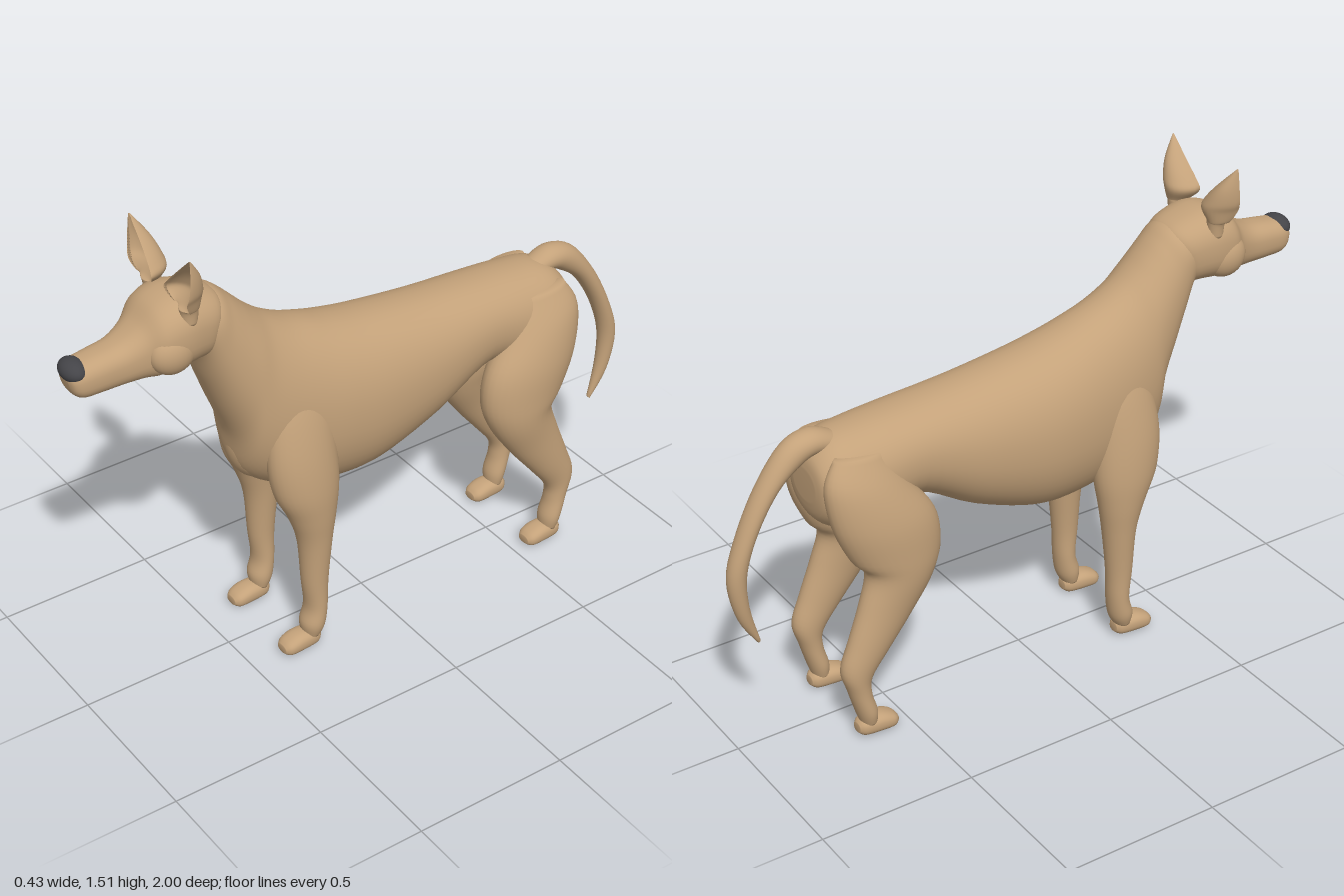
import * as THREE from 'three';

const fur = new THREE.MeshStandardMaterial({ color: 0xc4a27a });
fur.name = 'tan fur';
const dark = new THREE.MeshStandardMaterial({ color: 0x444448 });
dark.name = 'dark nose';

// Closed smooth skin over equal-length rings, counterclockwise about the travel direction
function skin(rings) {
  const n = rings[0].length, pos = rings.flat(2), idx = [], last = rings.length - 1;
  for (const r of [rings[0], rings[last]]) {
    for (let k = 0; k < 3; k++) pos.push(r.reduce((s, p) => s + p[k], 0) / n);
  }
  const start = rings.length * n;
  for (let j = 0; j < n; j++) {
    const k = (j + 1) % n;
    for (let i = 0; i < last; i++) {
      const a = i * n + j, b = i * n + k;
      idx.push(a, b, b + n, a, b + n, a + n);
    }
    idx.push(start, k, j, start + 1, last * n + j, last * n + k);
  }
  const g = new THREE.BufferGeometry();
  g.setAttribute('position', new THREE.Float32BufferAttribute(pos, 3));
  g.setIndex(idx);
  g.computeVertexNormals();
  return g;
}

// Catmull-Rom subdivision of rows of numbers
function smooth(rows, steps = 5) {
  const out = [], at = (i) => rows[Math.min(Math.max(i, 0), rows.length - 1)];
  for (let i = 0; i < rows.length - 1; i++) {
    for (let s = 0; s < steps; s++) {
      const t = s / steps;
      out.push(rows[i].map((b, k) => {
        const a = at(i - 1)[k], c = at(i + 1)[k], d = at(i + 2)[k];
        return b + 0.5 * t * (c - a + t * (2 * a - 5 * b + 4 * c - d + t * (3 * (b - c) + d - a)));
      }));
    }
  }
  out.push(rows[rows.length - 1]);
  return out;
}

// Each row: z1, y1, z2, y2 (opposite silhouette points), half width, x centre
function loft(rows, side = 1, power = 2, n = 32) {
  const bend = (v) => Math.sign(v) * Math.abs(v) ** (2 / power);
  return skin(smooth(rows).map(([z1, y1, z2, y2, w, x = 0]) =>
    Array.from({ length: n }, (_, j) => {
      const a = (j / n) * Math.PI * 2, c = bend(Math.cos(a)), s = bend(Math.sin(a));
      return [side * x + w * c, (y1 + y2) / 2 + s * (y1 - y2) / 2, (z1 + z2) / 2 + s * (z1 - z2) / 2];
    })));
}

const BODY = [
  [-0.735, 0.88, -0.735, 0.78, 0.06], [-0.72, 0.93, -0.72, 0.72, 0.11],
  [-0.66, 0.975, -0.66, 0.68, 0.138], [-0.55, 0.99, -0.55, 0.68, 0.147],
  [-0.4, 1.0, -0.4, 0.71, 0.147], [-0.2, 1.015, -0.2, 0.6, 0.168],
  [0, 1.04, 0, 0.525, 0.184], [0.12, 1.065, 0.14, 0.515, 0.182],
  [0.2, 1.09, 0.28, 0.54, 0.172], [0.28, 1.12, 0.4, 0.6, 0.16],
  [0.35, 1.16, 0.46, 0.67, 0.148], [0.4, 1.2, 0.48, 0.79, 0.138],
  [0.44, 1.24, 0.525, 0.91, 0.126], [0.48, 1.28, 0.565, 1.02, 0.116],
  [0.52, 1.31, 0.6, 1.12, 0.11], [0.58, 1.32, 0.65, 1.15, 0.095],
];
const HEAD = [
  [0.5, 1.28, 0.56, 1.13, 0.07], [0.53, 1.315, 0.58, 1.12, 0.105],
  [0.6, 1.34, 0.62, 1.12, 0.121], [0.66, 1.347, 0.67, 1.115, 0.126],
  [0.72, 1.325, 0.73, 1.11, 0.115], [0.77, 1.275, 0.77, 1.109, 0.085],
  [0.83, 1.24, 0.83, 1.108, 0.068], [0.9, 1.228, 0.9, 1.108, 0.063],
  [0.96, 1.218, 0.95, 1.11, 0.058], [0.985, 1.2, 0.975, 1.125, 0.045],
  [0.992, 1.18, 0.985, 1.145, 0.022],
];
const TAIL = [
  [-0.63, 0.91, -0.63, 0.975, 0.04], [-0.7, 0.925, -0.71, 1.005, 0.046],
  [-0.75, 0.905, -0.8, 0.975, 0.044], [-0.82, 0.85, -0.89, 0.86, 0.039],
  [-0.89, 0.74, -0.96, 0.72, 0.035], [-0.935, 0.61, -0.998, 0.59, 0.031],
  [-0.935, 0.49, -0.972, 0.45, 0.023], [-0.905, 0.36, -0.913, 0.35, 0.007],
];
const FRONT_LEG = [
  [0.35, 0.96, 0.25, 0.96, 0.025, 0.11], [0.4, 0.85, 0.2, 0.85, 0.056, 0.118],
  [0.42, 0.72, 0.19, 0.72, 0.073, 0.13], [0.405, 0.6, 0.19, 0.6, 0.075, 0.14],
  [0.36, 0.5, 0.205, 0.5, 0.065, 0.146], [0.33, 0.4, 0.22, 0.4, 0.054, 0.147],
  [0.32, 0.25, 0.235, 0.25, 0.043, 0.148], [0.31, 0.15, 0.24, 0.15, 0.043, 0.147],
  [0.325, 0.09, 0.25, 0.08, 0.045, 0.146], [0.32, 0.05, 0.27, 0.04, 0.035, 0.144],
];
const HIND_LEG = [
  [-0.53, 0.93, -0.69, 0.94, 0.03, 0.1], [-0.46, 0.82, -0.73, 0.86, 0.067, 0.113],
  [-0.385, 0.71, -0.715, 0.73, 0.085, 0.125], [-0.37, 0.6, -0.665, 0.61, 0.085, 0.13],
  [-0.405, 0.5, -0.62, 0.55, 0.075, 0.137], [-0.48, 0.39, -0.645, 0.46, 0.058, 0.142],
  [-0.56, 0.29, -0.69, 0.34, 0.048, 0.145], [-0.62, 0.21, -0.72, 0.25, 0.042, 0.145],
  [-0.625, 0.15, -0.7, 0.17, 0.039, 0.145], [-0.61, 0.09, -0.675, 0.085, 0.042, 0.145],
  [-0.61, 0.05, -0.66, 0.04, 0.034, 0.144],
];
const PAW = [
  [0.265, 0.045, 0.265, 0.015, 0.018, 0.143], [0.285, 0.06, 0.285, 0.003, 0.033, 0.143],
  [0.34, 0.063, 0.34, 0, 0.039, 0.143], [0.38, 0.05, 0.38, 0, 0.036, 0.143],
  [0.398, 0.035, 0.398, 0.01, 0.022, 0.143],
];
// Rows: y, inner x, outer x, depth, front z, hollow (-1 makes a full stalk)
const EAR = [
  [1.28, 0.07, 0.12, 0.025, 0.645, -1], [1.325, 0.07, 0.125, 0.028, 0.645, -1],
  [1.335, 0.062, 0.138, 0.05, 0.665, 0.1], [1.37, 0.032, 0.152, 0.078, 0.682, 0.6],
  [1.4, 0.047, 0.163, 0.072, 0.68, 0.7], [1.45, 0.093, 0.165, 0.048, 0.675, 0.7],
  [1.512, 0.155, 0.159, 0.004, 0.672, 0.5],
];

// Cupped ear with its hollow facing forward
function ear(side) {
  return skin(smooth(EAR).map(([y, x1, x2, depth, z, hollow]) => {
    const ring = [], n = 14;
    for (let j = 0; j < 2 * n; j++) {
      const a = (j / n) * Math.PI, s = Math.sin(a);
      const cx = (x1 + x2) / 2 + Math.cos(a) * (x2 - x1) / 2;
      ring.push([side * cx, y, z - depth * (j <= n ? s : -s * hollow)]);
    }
    return side > 0 ? ring : ring.reverse();
  }));
}

export function createModel() {
  const model = new THREE.Group();
  model.name = 'dog';
  const add = (name, geometry, material = fur) => {
    const m = new THREE.Mesh(geometry, material);
    m.name = name;
    model.add(m);
    return m;
  };
  const blob = (name, p, r, material) =>
    add(name, new THREE.SphereGeometry(1, 28, 18).scale(...r).translate(...p), material);

  add('bodyAndNeck', loft(BODY, 1, 2.15, 48));
  add('head', loft(HEAD, 1, 2.5, 40));
  add('tail', loft(TAIL));
  blob('chest', [0, 0.72, 0.4], [0.095, 0.11, 0.072]);
  blob('nose', [0, 1.195, 0.962], [0.053, 0.033, 0.038], dark);

  // Paired parts
  for (const [label, side] of [['left', 1], ['right', -1]]) {
    add(label + 'FrontLeg', loft(FRONT_LEG, side));
    add(label + 'HindLeg', loft(HIND_LEG, side));
    add(label + 'FrontPaw', loft(PAW, side, 2.4));
    add(label + 'HindPaw', loft(PAW, side, 2.4).translate(0, 0, -0.94));
    add(label + 'Ear', ear(side));
    blob(label + 'Cheek', [side * 0.082, 1.195, 0.695], [0.05, 0.068, 0.072]);
  }
  return model;
}
